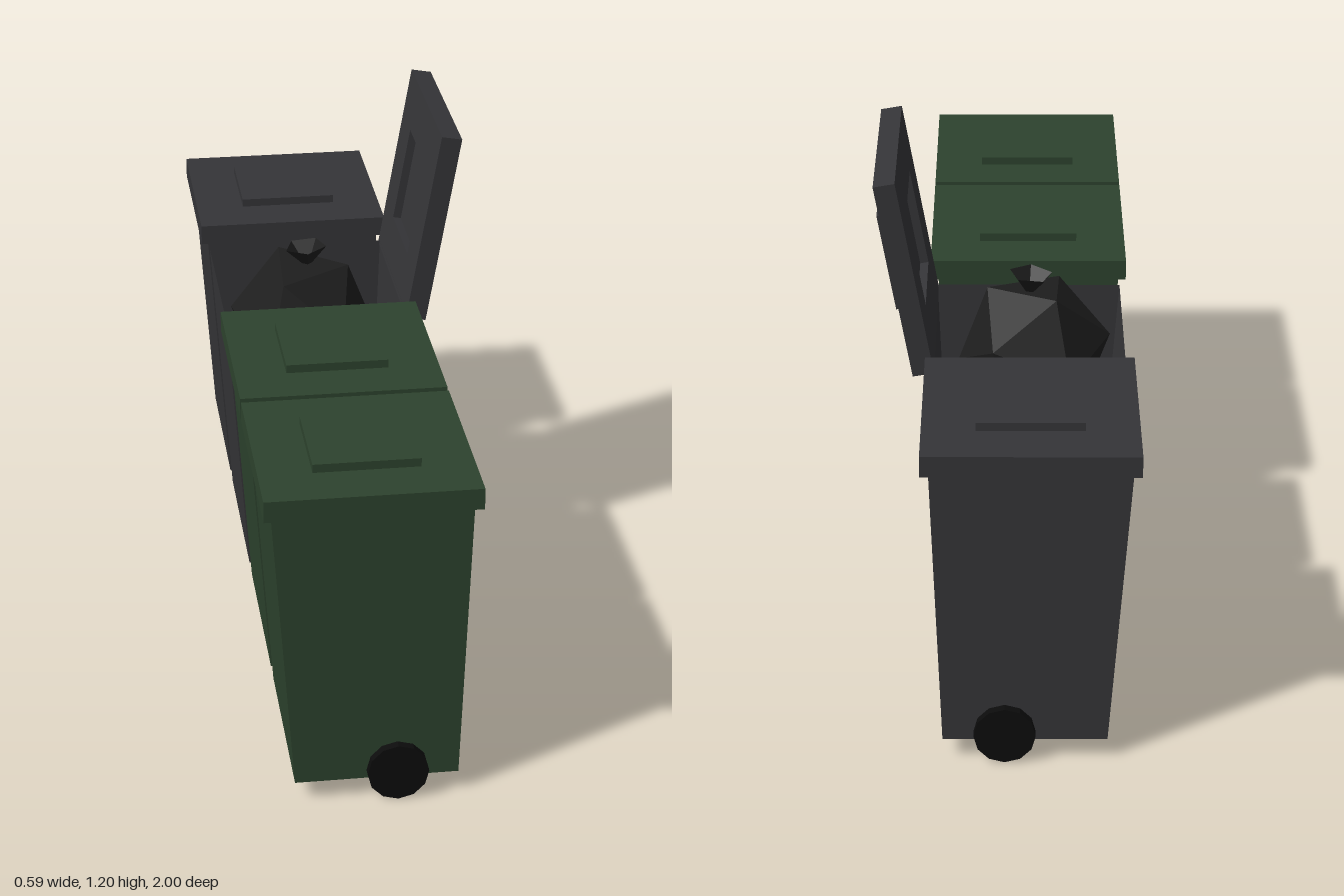
import * as THREE from 'three';

const paint = (color) => new THREE.MeshStandardMaterial({ color, flatShading: true, side: THREE.DoubleSide });
const green = paint(0x2d432e);
const charcoal = paint(0x353538);
const rubber = paint(0x0c0c0c);
const plastic = paint(0x1e1e1e);

const LID = 0.48;     // lid side
const PANEL = 0.24;   // raised panel side
const LID_X = -0.057; // lid centre when closed

function mesh(geometry, material, name, x = 0, y = 0, z = 0) {
  const m = new THREE.Mesh(geometry, material);
  m.name = name;
  m.position.set(x, y, z);
  return m;
}

// Tapered shell, open at the top
function bodyGeometry() {
  const geo = new THREE.BoxGeometry(1, 0.69, 0.445);
  const pos = geo.attributes.position;
  for (let i = 0; i < pos.count; i++) {
    const top = pos.getY(i) > 0;
    const right = pos.getX(i) > 0;
    pos.setX(i, right ? (top ? 0.165 : 0.14) : (top ? -0.28 : -0.232));
    pos.setY(i, top ? 0.735 : 0.05);
  }
  const index = Array.from(geo.index.array);
  index.splice(12, 6); // drop the top face
  geo.setIndex(index);
  geo.clearGroups();
  geo.computeVertexNormals();
  return geo;
}

const square = (Type, s) => {
  const h = s / 2;
  return new Type([[-h, -h], [h, -h], [h, h], [-h, h]].map(([x, y]) => new THREE.Vector2(x, y)));
};

// Lid frame with a raised panel that is hollow underneath; underside at y = 0
function makeLid(material) {
  const lid = new THREE.Group();
  lid.name = 'lid';
  const shape = square(THREE.Shape, LID);
  shape.holes.push(square(THREE.Path, PANEL));
  const frame = new THREE.ExtrudeGeometry(shape, { depth: 0.05, bevelEnabled: false });
  frame.rotateX(-Math.PI / 2);
  lid.add(mesh(frame, material, 'lidFrame'));
  lid.add(mesh(new THREE.BoxGeometry(PANEL, 0.05, PANEL), material, 'lidPanel', 0, 0.045, 0));
  return lid;
}

function makeBin(name, material, z, open) {
  const bin = new THREE.Group();
  bin.name = name;
  bin.position.z = z;
  bin.add(mesh(bodyGeometry(), material, 'body'));

  // One wheel on each side
  for (const side of [-1, 1]) {
    const wheel = new THREE.CylinderGeometry(0.07, 0.07, 0.03, 12);
    wheel.rotateX(Math.PI / 2);
    bin.add(mesh(wheel, rubber, 'wheel', 0, 0.071, side * 0.228));
  }

  const lid = makeLid(material);
  if (open) {
    // Swung back past vertical
    lid.rotation.z = -THREE.MathUtils.degToRad(100);
    lid.position.set(0.205, 0.961, 0);
  } else {
    lid.position.set(LID_X, 0.73, 0);
  }
  bin.add(lid);
  return bin;
}

// Faceted rubbish bag, lying on one facet
function makeBag(name, radius, x, y, z, turn) {
  const geo = new THREE.IcosahedronGeometry(radius, 0);
  geo.applyQuaternion(new THREE.Quaternion().setFromUnitVectors(
    new THREE.Vector3(1, 1, 1).normalize(), new THREE.Vector3(0, 1, 0)));
  geo.rotateY(turn);
  geo.rotateX(0.12);
  return mesh(geo, plastic, name, x, y, z);
}

export function createModel() {
  const model = new THREE.Group();
  model.name = 'wheelieBins';
  model.add(makeBin('greenBinFront', green, 0.757, false));
  model.add(makeBin('greenBinBack', green, 0.258, false));
  const openBin = makeBin('openBin', charcoal, -0.247, true);
  model.add(openBin);
  model.add(makeBin('closedDarkBin', charcoal, -0.757, false));

  // Bags in the open bin, the upper one with a flared knot
  openBin.add(makeBag('upperBag', 0.185, -0.07, 0.655, 0.045, 0.35));
  openBin.add(makeBag('lowerBag', 0.18, -0.04, 0.42, 0, 1.2));
  const knot = new THREE.CylinderGeometry(0.053, 0.008, 0.05, 5, 1, true);
  const tie = mesh(knot, plastic, 'bagKnot', -0.06, 0.822, 0.045);
  tie.rotation.z = 0.08;
  openBin.add(tie);
  return model;
}
